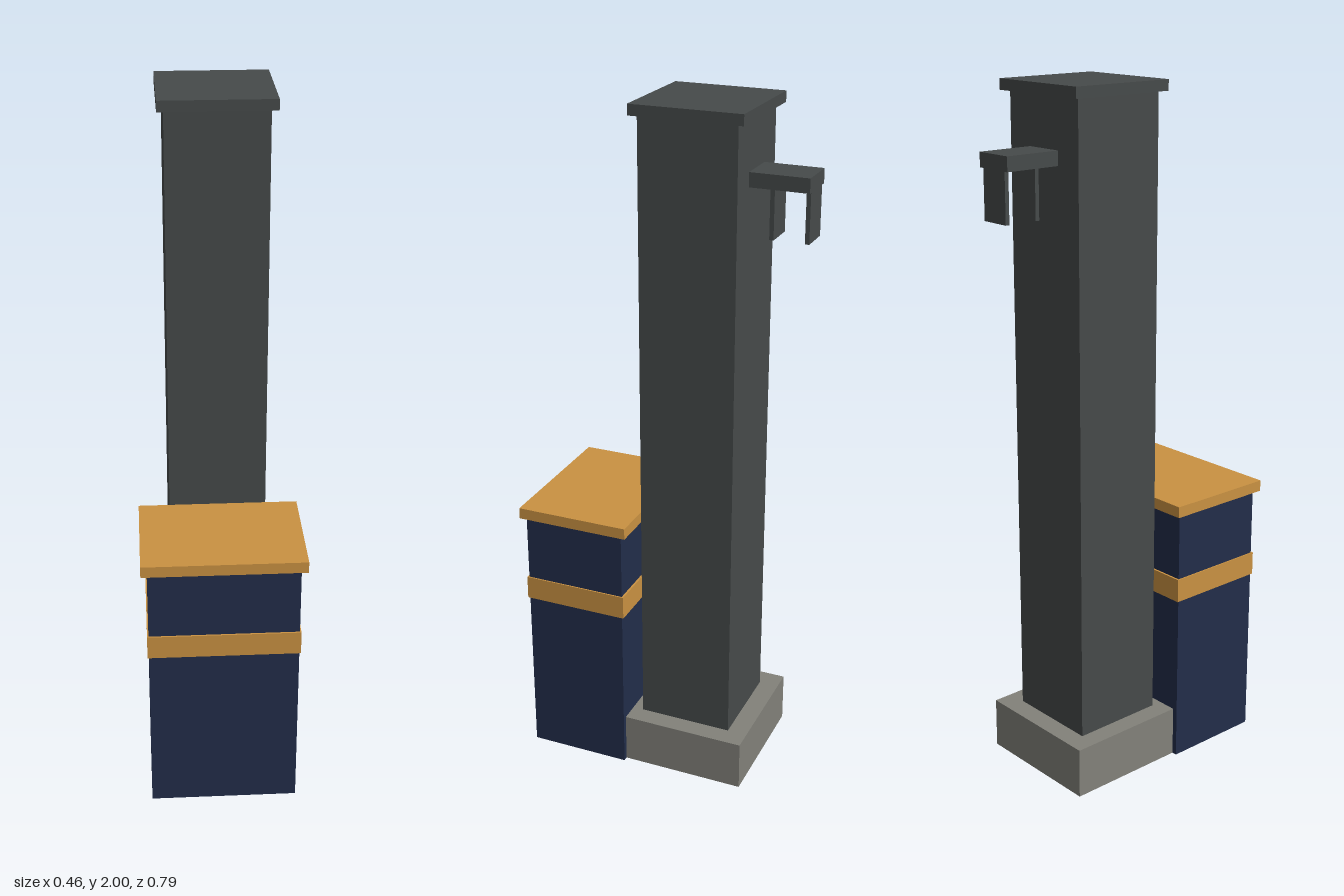
import * as THREE from 'three';

const material = (name, color, side = THREE.FrontSide) => {
  const m = new THREE.MeshStandardMaterial({ color, side });
  m.name = name;
  return m;
};

// Box given by its limits on each axis; an open box has no bottom face
function box(name, mat, [x0, x1], [y0, y1], [z0, z1], open = false) {
  const geometry = new THREE.BoxGeometry(x1 - x0, y1 - y0, z1 - z0);
  if (open) {
    const index = Array.from(geometry.index.array);
    index.splice(18, 6); // fourth side is the underside
    geometry.setIndex(index);
    geometry.clearGroups();
  }
  const mesh = new THREE.Mesh(geometry, mat);
  mesh.name = name;
  mesh.position.set((x0 + x1) / 2, (y0 + y1) / 2, (z0 + z1) / 2);
  return mesh;
}

const wide = (half) => [-half, half];

export function createModel() {
  const model = new THREE.Group();
  model.name = 'cabinetAndColumn';

  const navy = material('navy', 0x222d4a, THREE.DoubleSide);
  const ochre = material('ochre', 0xca9242);
  const charcoal = material('charcoal', 0x464a4a);
  const stone = material('stone grey', 0x82817a, THREE.DoubleSide);

  // Cabinet: hollow body, band around it and overhanging lid
  const cabinet = new THREE.Group();
  cabinet.name = 'cabinet';
  cabinet.add(
    box('cabinetBody', navy, wide(0.212), [0, 0.785], [0.08, 0.383], true),
    box('cabinetBand', ochre, wide(0.216), [0.51, 0.58], [0.074, 0.388]),
    box('cabinetLid', ochre, wide(0.23), [0.782, 0.815], [0.06, 0.396])
  );

  // Column on a hollow plinth, with a cap
  const column = new THREE.Group();
  column.name = 'column';
  column.add(
    box('plinth', stone, wide(0.197), [0, 0.15], [-0.289, 0.105], true),
    box('columnShaft', charcoal, wide(0.14), [0.15, 1.972], [-0.23, 0.048], true),
    box('columnCap', charcoal, wide(0.158), [1.97, 2], [-0.251, 0.067])
  );

  // Bracket on the back with two hanging plates
  const bracket = new THREE.Group();
  bracket.name = 'bracket';
  bracket.add(box('bracketArm', charcoal, wide(0.058), [1.79, 1.83], [-0.396, -0.228]));
  for (const z of [-0.291, -0.389]) {
    bracket.add(box('bracketPlate', charcoal, wide(0.045), [1.652, 1.791], [z - 0.006, z + 0.006]));
  }

  model.add(cabinet, column, bracket);
  return model;
}
